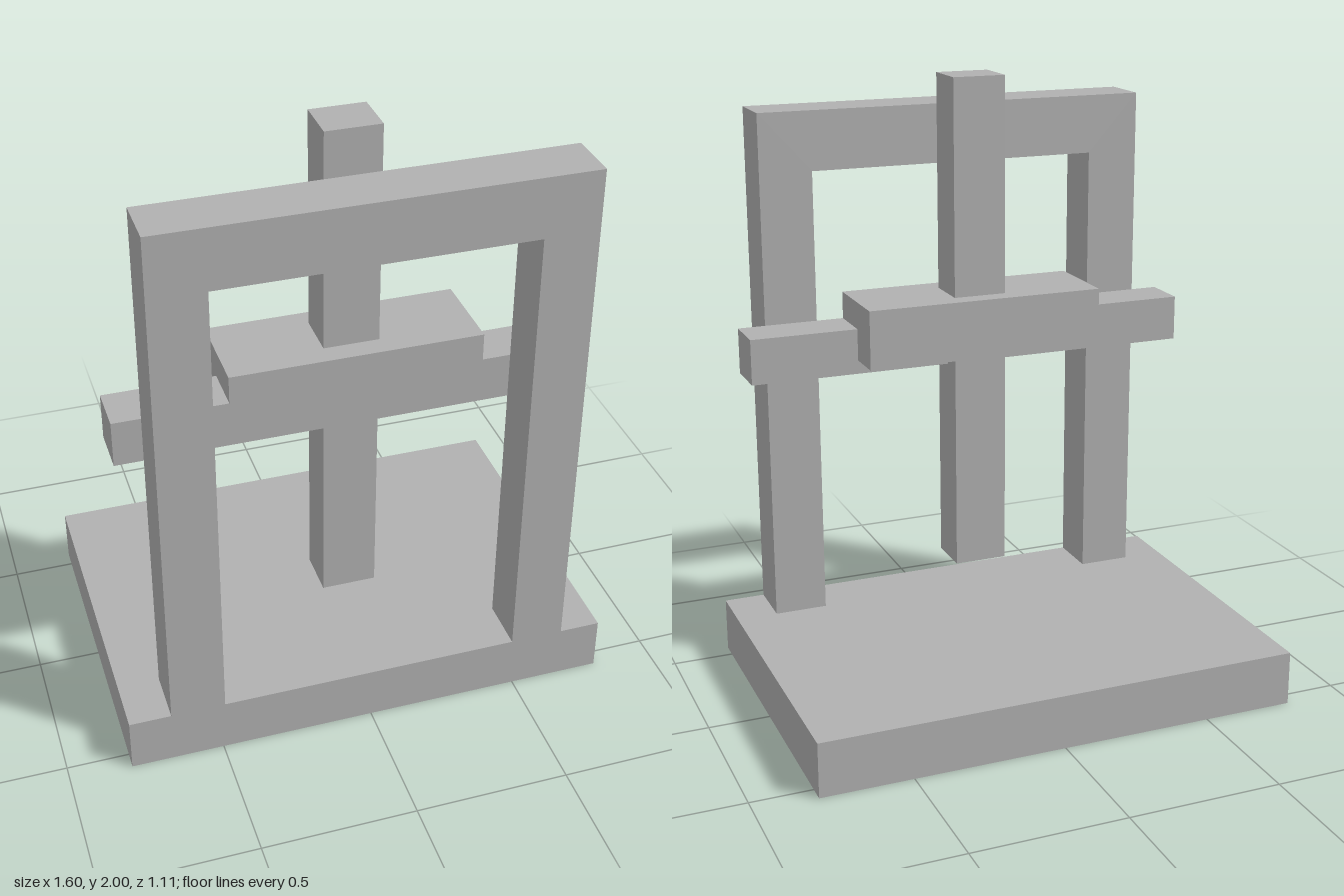
import * as THREE from 'three';

export function createModel() {
  const model = new THREE.Group();
  model.name = 'gantryMachine';

  const grey = new THREE.MeshStandardMaterial({ color: 0xb0b0b0 });
  grey.name = 'light grey';

  // Box given by its lower and upper limits on each axis
  function block(name, [x0, x1], [y0, y1], [z0, z1]) {
    const mesh = new THREE.Mesh(new THREE.BoxGeometry(x1 - x0, y1 - y0, z1 - z0), grey);
    mesh.position.set((x0 + x1) / 2, (y0 + y1) / 2, (z0 + z1) / 2);
    mesh.name = name;
    model.add(mesh);
  }

  // Base plate
  block('base', [-0.8, 0.8], [0, 0.18], [-0.555, 0.555]);

  // Upright portal frame along the front edge, one arch-shaped extrusion
  const outline = [
    [-0.665, 0.18], [-0.49, 0.18], [-0.49, 1.695], [0.49, 1.695],
    [0.49, 0.18], [0.665, 0.18], [0.665, 1.89], [-0.665, 1.89],
  ].map(([x, y]) => new THREE.Vector2(x, y));
  const frame = new THREE.Mesh(
    new THREE.ExtrudeGeometry(new THREE.Shape(outline), { depth: 0.175, bevelEnabled: false }),
    grey
  );
  frame.position.z = 0.38;
  frame.name = 'portalFrame';
  model.add(frame);

  // Horizontal rail behind the frame, and the carriage riding on it
  block('crossRail', [-0.755, 0.755], [1.05, 1.2], [0.225, 0.38]);
  block('carriage', [-0.4, 0.4], [1.095, 1.29], [0.095, 0.38]);

  // Vertical ram passing through the carriage
  block('verticalRam', [-0.088, 0.088], [0.36, 2], [0.157, 0.31]);

  return model;
}
